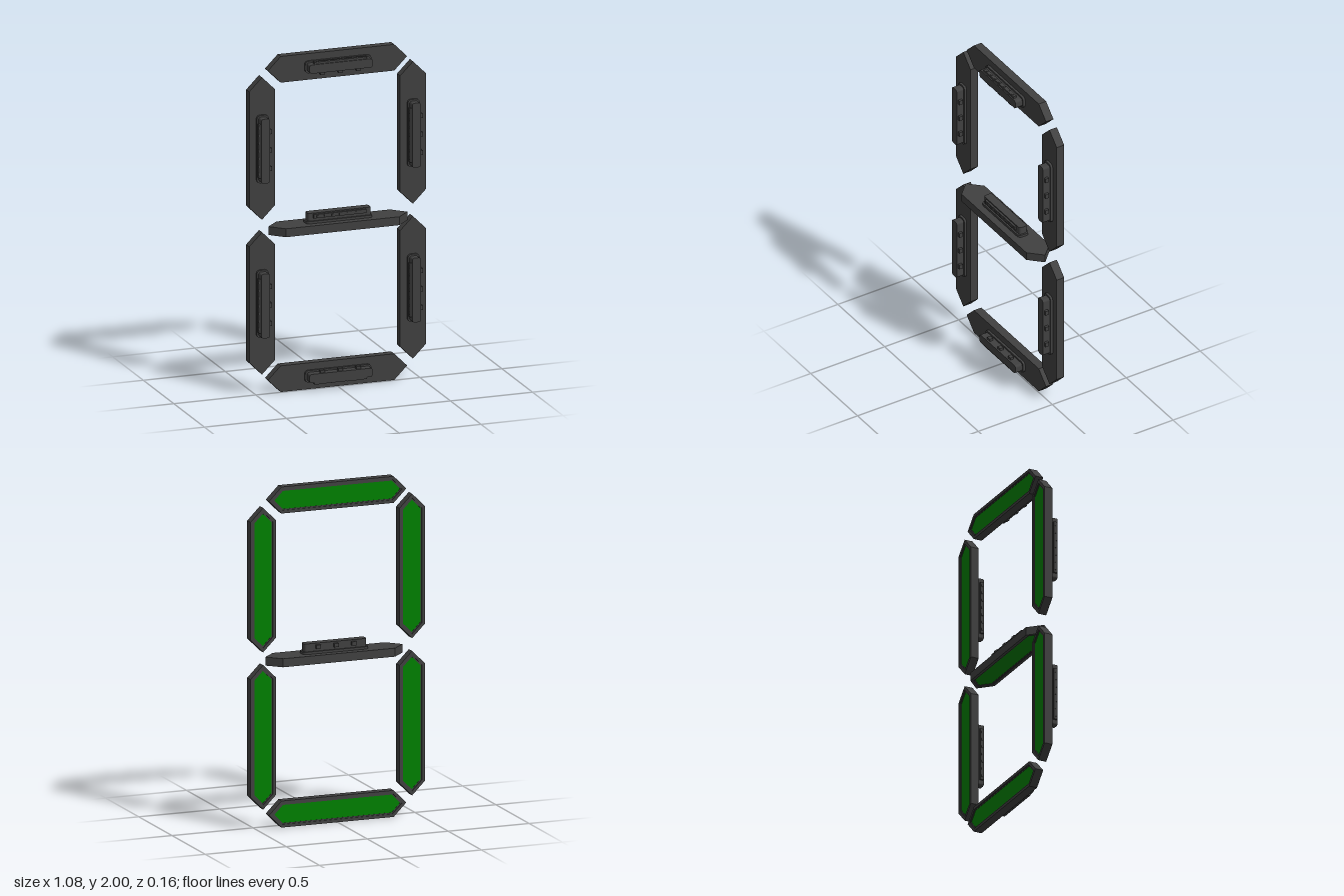
import * as THREE from 'three';

const charcoal = new THREE.MeshStandardMaterial({ name: 'charcoal plastic', color: 0x404040 });
const green = new THREE.MeshStandardMaterial({ name: 'green panel', color: 0x008000 });

const HALF_LENGTH = 0.424, HALF_WIDTH = 0.078;

// Pointed bar outline, shrunk evenly by d
function barPoints(d) {
  const w = HALF_WIDTH - d, tip = HALF_LENGTH - d * Math.SQRT2, s = tip - w;
  return [[-tip, 0], [-s, -w], [s, -w], [tip, 0], [s, w], [-s, w]].map(([x, y]) => new THREE.Vector2(x, y));
}

// Pointed frame between two insets
function barFrame(outer, inner) {
  const s = new THREE.Shape(barPoints(outer));
  s.holes.push(new THREE.Path(barPoints(inner)));
  return s;
}

// Long plate with rounded corners
function roundedShape(hl, hw, r) {
  const s = new THREE.Shape();
  s.absarc(hl - r, hw - r, r, 0, Math.PI / 2);
  s.absarc(-hl + r, hw - r, r, Math.PI / 2, Math.PI);
  s.absarc(-hl + r, -hw + r, r, Math.PI, Math.PI * 1.5);
  s.absarc(hl - r, -hw + r, r, Math.PI * 1.5, Math.PI * 2);
  return s;
}

function extrude(name, shape, z0, z1, material = charcoal) {
  const geo = new THREE.ExtrudeGeometry(shape, { depth: z1 - z0, bevelEnabled: false, curveSegments: 4 });
  geo.translate(0, 0, z0);
  const mesh = new THREE.Mesh(geo, material);
  mesh.name = name;
  return mesh;
}

function box(name, w, h, d, x, y, z) {
  const mesh = new THREE.Mesh(new THREE.BoxGeometry(w, h, d), charcoal);
  mesh.position.set(x, y, z);
  mesh.name = name;
  return mesh;
}

// One bar lying along x: connector at +z, green panel at -z
function createSegment(name) {
  const g = new THREE.Group();
  g.name = name;

  // Housing with a stepped shallow tray at the back
  g.add(extrude('housing', new THREE.Shape(barPoints(0)), -0.04, 0));
  g.add(extrude('rim', barFrame(0, 0.018), -0.05, -0.04));
  g.add(extrude('innerLip', barFrame(0.018, 0.025), -0.045, -0.04));
  g.add(extrude('panel', new THREE.Shape(barPoints(0.025)), -0.043, -0.039, green));

  // Connector
  g.add(extrude('connectorFlange', roundedShape(0.202, 0.036, 0.022), 0, 0.014));
  g.add(extrude('connectorBody', roundedShape(0.192, 0.026, 0.014), 0.014, 0.06));

  // Pin strip on one side, clips on the other
  g.add(box('pinStrip', 0.32, 0.014, 0.022, 0, 0.031, 0.042));
  for (let i = -3; i <= 3; i++) g.add(box('pin', 0.012, 0.004, 0.012, i * 0.046, 0.039, 0.042));
  for (let i = -1; i <= 1; i++) g.add(box('clip', 0.028, 0.018, 0.022, i * 0.11, -0.032, 0.04));
  return g;
}

export function createModel() {
  const model = new THREE.Group();
  model.name = 'segmentDisplay';
  const H = Math.PI / 2, Z = -0.006;
  const placements = [
    ['topSegment', 0, 1.922, Z, 0, 0],
    ['bottomSegment', 0, 0.078, Z, 0, Math.PI],
    ['upperLeftSegment', 0.46, 1.463, Z, 0, H],
    ['upperRightSegment', -0.46, 1.463, Z, 0, H],
    ['lowerLeftSegment', 0.46, 0.54, Z, 0, H],
    ['lowerRightSegment', -0.46, 0.54, Z, 0, H],
    // The middle bar lies flat, connector up
    ['middleSegment', 0, 0.996, 0, -H, Math.PI],
  ];
  for (const [name, x, y, z, rx, rz] of placements) {
    const s = createSegment(name);
    s.position.set(x, y, z);
    s.rotation.set(rx, 0, rz);
    model.add(s);
  }
  return model;
}
